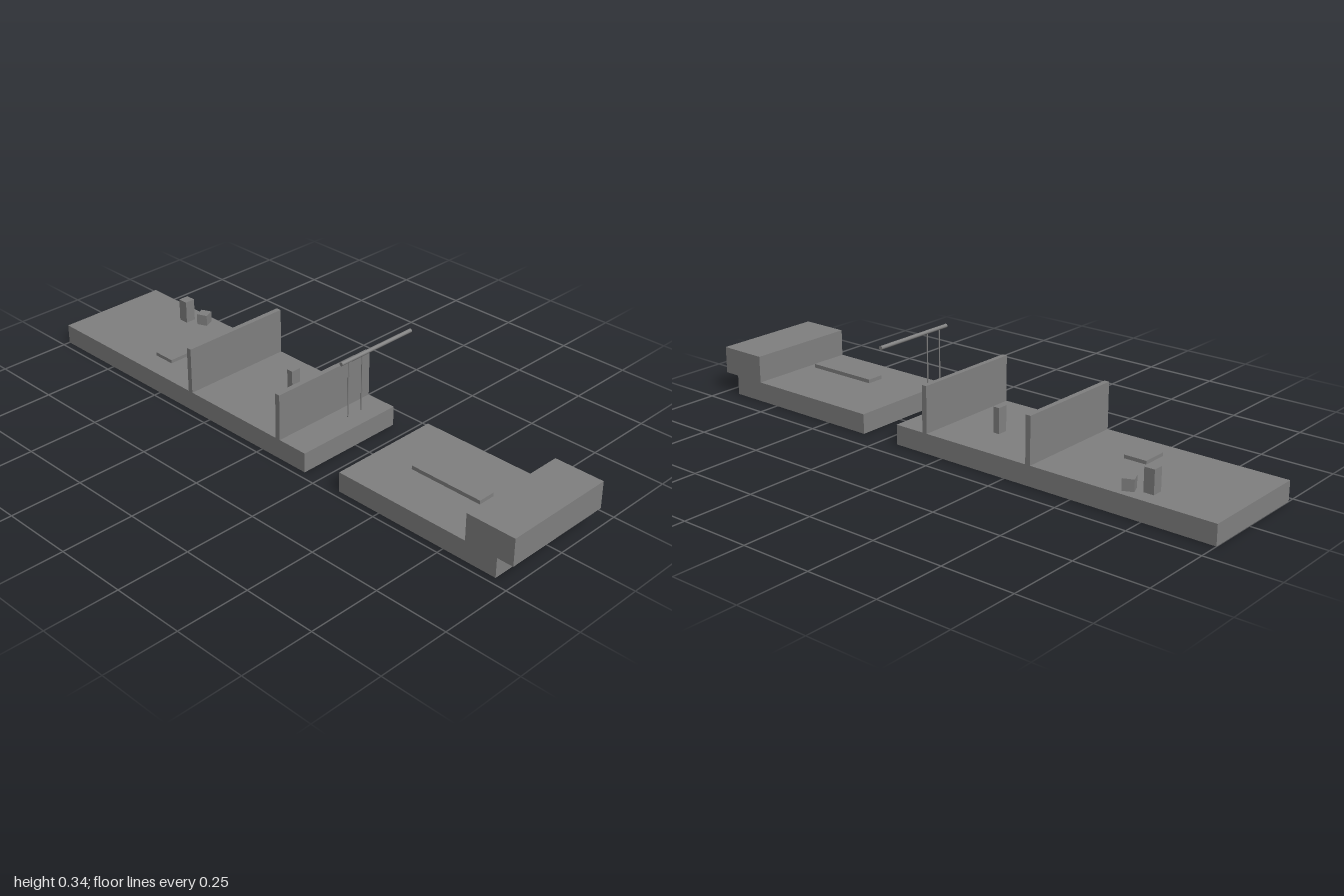
import * as THREE from 'three';

export function createModel() {
  const group = new THREE.Group();
  const grey = new THREE.MeshStandardMaterial({ color: 0x808080 });
  grey.name = 'grey';

  // Box given by its extents on each axis
  function block(name, [x0, x1], [y0, y1], [z0, z1], turn = 0) {
    const mesh = new THREE.Mesh(new THREE.BoxGeometry(x1 - x0, y1 - y0, z1 - z0), grey);
    mesh.position.set((x0 + x1) / 2, (y0 + y1) / 2, (z0 + z1) / 2);
    mesh.rotation.y = turn;
    mesh.name = name;
    group.add(mesh);
    return mesh;
  }

  // Upright round rod
  function rod(name, radius, length, x, y, z) {
    const mesh = new THREE.Mesh(new THREE.CylinderGeometry(radius, radius, length, 20), grey);
    mesh.position.set(x, y, z);
    mesh.name = name;
    group.add(mesh);
    return mesh;
  }

  const depth = [-0.175, 0.225];
  const deck = 0.068;

  // Long platform with two full-depth walls
  block('longPlatform', [-1, 0.19], [0, deck], depth);
  for (const x of [-0.341, 0.071]) {
    block('wall', [x - 0.009, x + 0.009], [deck, 0.227], depth);
  }

  // Short platform with an overhanging raised end
  block('shortPlatform', [0.337, 0.943], [0, deck], depth);
  block('raisedEnd', [0.828, 1], [deck, 0.161], depth);

  // Objects standing on the long platform
  block('tallBox', [-0.757, -0.721], [deck, 0.147], [-0.123, -0.086]);
  block('smallTurnedBox', [-0.696, -0.658], [deck, 0.107], [-0.149, -0.111], 0.4);
  block('flatPlate', [-0.611, -0.531], [deck, 0.08], [0.055, 0.145]);
  block('narrowBox', [-0.114, -0.091], [deck, 0.155], [-0.031, 0.005]);

  // Long plank hovering just above the short platform
  block('plank', [0.497, 0.76], [0.087, 0.1], [0.02, 0.08]);

  // Hanging bar with two thin posts over the gap
  const barX = 0.208;
  rod('bar', 0.0066, 0.311, barX, 0.333, -0.0675).rotation.x = Math.PI / 2;
  for (const z of [0.055, -0.004]) {
    rod('post', 0.0023, 0.195, barX, 0.2325, z);
  }

  return group;
}
